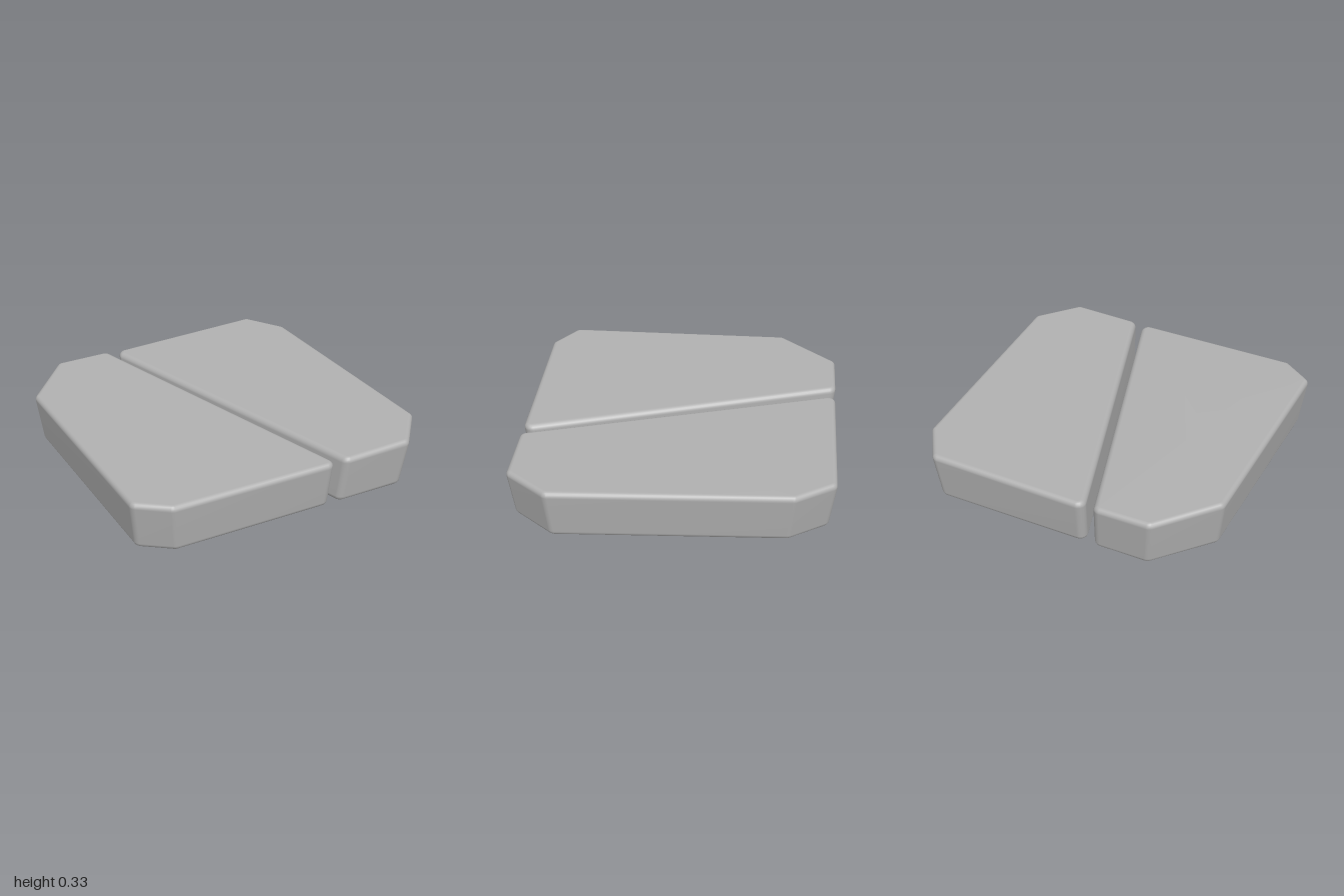
import * as THREE from 'three';

const CORNER = 0.05; // plan rounding radius
const BEVEL = 0.035; // edge rounding radius
const FOOT = 0.957;  // size of the base relative to the top
const STEPS = 5;

// Rounded convex outline: arc centres with their outward directions
function roundedOutline(corners) {
  const n = corners.length;
  const normals = corners.map(([x, z], i) => {
    const [x2, z2] = corners[(i + 1) % n];
    return new THREE.Vector2(z2 - z, x - x2).normalize();
  });
  const out = [];
  corners.forEach(([x, z], i) => {
    const n0 = normals[(i + n - 1) % n], n1 = normals[i];
    const k = CORNER / (1 + n0.dot(n1));
    const centre = new THREE.Vector2(x - (n0.x + n1.x) * k, z - (n0.y + n1.y) * k);
    const start = Math.atan2(n0.y, n0.x);
    const sweep = Math.acos(THREE.MathUtils.clamp(n0.dot(n1), -1, 1));
    for (let s = 0; s <= STEPS; s++) {
      const a = start + (sweep * s) / STEPS;
      out.push({ centre, dir: new THREE.Vector2(Math.cos(a), Math.sin(a)) });
    }
  });
  return out;
}

// Tapered slab with rounded edges; its top height is base + slope * x
function slabGeometry(corners, base, slope) {
  const outline = roundedOutline(corners);
  const count = outline.length;
  const rings = [];
  for (let s = 0; s <= STEPS; s++) {
    const a = (s / STEPS) * Math.PI / 2;
    rings.push({ inset: BEVEL * (1 - Math.sin(a)), y: BEVEL * (1 - Math.cos(a)) });
  }
  for (let s = STEPS; s >= 0; s--) rings.push({ inset: rings[s].inset, y: base - rings[s].y });

  const pos = [], index = [];
  const add = (x, y, z) => {
    const t = y / base;
    const scale = FOOT + (1 - FOOT) * t;
    pos.push(x * scale, y + slope * x * t, z * scale);
  };
  for (const { inset, y } of rings) {
    for (const { centre, dir } of outline) {
      const r = CORNER - inset;
      add(centre.x + dir.x * r, y, centre.y + dir.y * r);
    }
  }
  // centres of the flat base and top
  const cx = corners.reduce((s, c) => s + c[0], 0) / corners.length;
  const cz = corners.reduce((s, c) => s + c[1], 0) / corners.length;
  const bottom = pos.length / 3, top = bottom + 1;
  add(cx, 0, cz);
  add(cx, base, cz);

  const last = (rings.length - 1) * count;
  for (let i = 0; i < count; i++) {
    const k = (i + 1) % count;
    for (let j = 0; j < rings.length - 1; j++) {
      const a = j * count + i, b = j * count + k;
      index.push(a, a + count, b, b, a + count, b + count);
    }
    index.push(bottom, i, k, top, last + k, last + i);
  }
  const geometry = new THREE.BufferGeometry();
  geometry.setAttribute('position', new THREE.Float32BufferAttribute(pos, 3));
  geometry.setIndex(index);
  geometry.computeVertexNormals();
  return geometry;
}

export function createModel() {
  const group = new THREE.Group();
  group.name = 'splitStoneSlab';
  const stone = new THREE.MeshStandardMaterial({ color: 0xb0b0b0 });
  stone.name = 'stone grey';

  // Top outlines as [x, z], clockwise from above
  const slabs = {
    rightSlab: {
      corners: [[-0.665, -1], [-0.304, -0.995], [0.285, 0.975], [-0.805, 0.938], [-1, 0.79], [-0.982, -0.645]],
      base: 0.321, slope: -0.012,
    },
    leftSlab: {
      corners: [[-0.25, -0.992], [0.79, -0.975], [0.948, -0.725], [1, 0.735], [0.783, 0.992], [0.335, 0.977]],
      base: 0.317, slope: 0.017,
    },
  };
  for (const [name, { corners, base, slope }] of Object.entries(slabs)) {
    const mesh = new THREE.Mesh(slabGeometry(corners, base, slope), stone);
    mesh.name = name;
    group.add(mesh);
  }
  return group;
}
